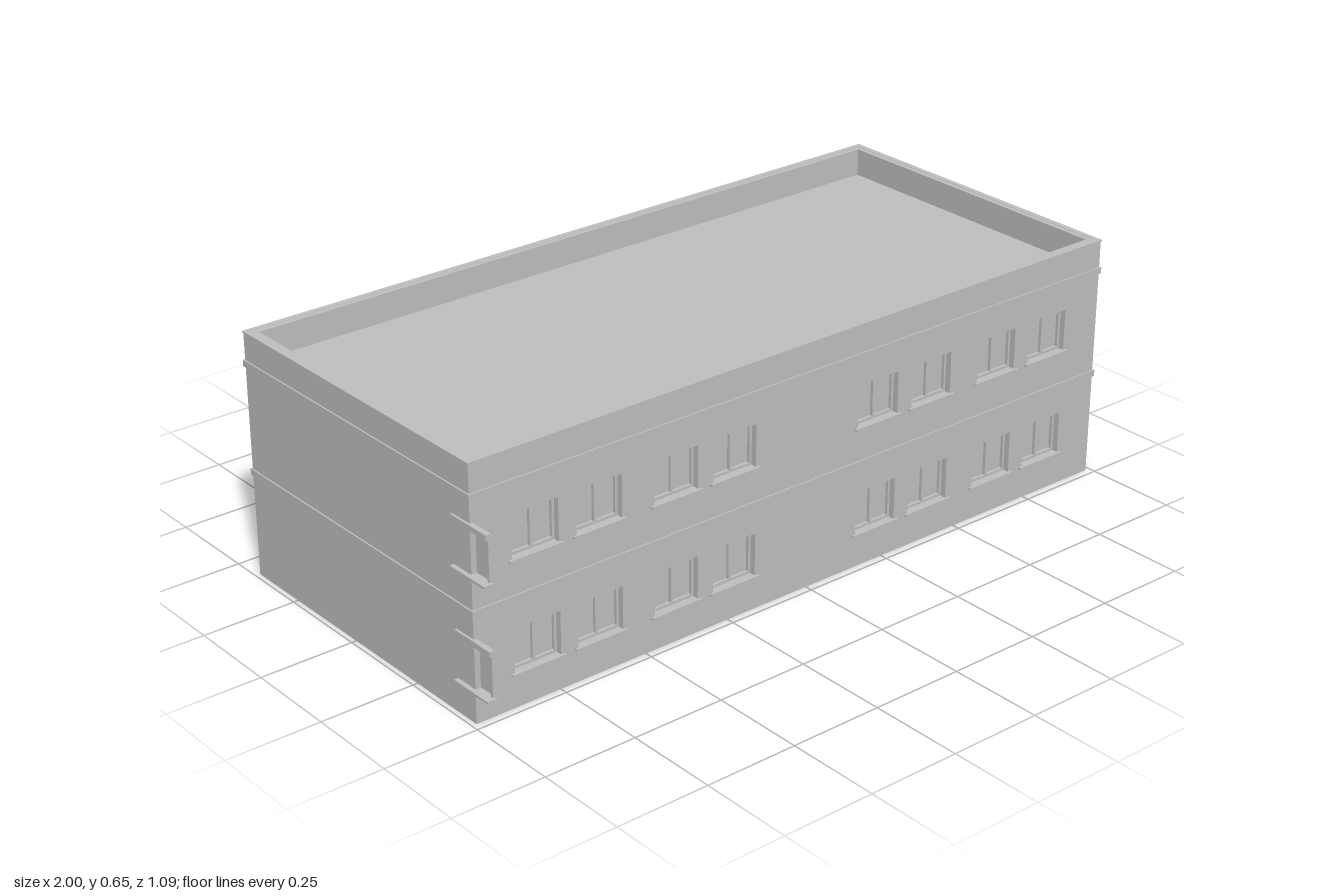
import * as THREE from 'three';

const W = 0.987, FRONT = 0.48, BACK = -0.42, H = 0.652, T = 0.027, ROOF = 0.578;
const MID = (FRONT + BACK) / 2, DEPTH = FRONT - BACK;
const concrete = new THREE.MeshStandardMaterial({ color: 0xc0c0c0 });
concrete.name = 'concreteGrey';

// box given by its minimum and maximum corners
function box(parent, name, x0, x1, y0, y1, z0, z1) {
  const m = new THREE.Mesh(new THREE.BoxGeometry(x1 - x0, y1 - y0, z1 - z0), concrete);
  m.position.set((x0 + x1) / 2, (y0 + y1) / 2, (z0 + z1) / 2);
  m.name = name;
  parent.add(m);
  return m;
}

// wall facing local +z with its outer face at z = 0; holes are [x0, x1, y0, y1]
function wall(parent, name, x0, x1, holes) {
  const s = new THREE.Shape();
  s.moveTo(x0, 0).lineTo(x1, 0).lineTo(x1, H).lineTo(x0, H).closePath();
  for (const [a, b, c, d] of holes) {
    const p = new THREE.Path();
    p.moveTo(a, c).lineTo(a, d).lineTo(b, d).lineTo(b, c).closePath();
    s.holes.push(p);
  }
  const g = new THREE.ExtrudeGeometry(s, { depth: T, bevelEnabled: false });
  g.translate(0, 0, -T);
  const m = new THREE.Mesh(g, concrete);
  m.name = name;
  parent.add(m);
}

// glass, frame bars and centre post set back in an opening
function filling(g, x0, x1, y0, y1) {
  const f = 0.007, z0 = -0.024, z1 = -0.016, c = (x0 + x1) / 2;
  box(g, 'pane', x0, x1, y0, y1, -0.027, z0);
  box(g, 'frameLeft', x0, x0 + f, y0, y1, z0, z1);
  box(g, 'frameRight', x1 - f, x1, y0, y1, z0, z1);
  box(g, 'frameTop', x0 + f, x1 - f, y1 - f, y1, z0, z1);
  box(g, 'frameBottom', x0 + f, x1 - f, y0, y0 + f, z0, z1);
  box(g, 'centrePost', c - f / 2, c + f / 2, y0 + f, y1 - f, z0, z1);
}

function windowUnit(parent, [x0, x1, y0, y1], lintel, reach = 0.007) {
  const g = new THREE.Group();
  g.name = 'window';
  filling(g, x0, x1, y0, y1);
  box(g, 'sill', x0 - 0.01, x1 + 0.01, y0 - 0.006, y0, -0.02, reach);
  if (lintel) box(g, 'lintel', x0 - 0.011, x1 + 0.011, y1, y1 + 0.014, -0.01, 0.005);
  parent.add(g);
}

function doorUnit(parent, [x0, x1, y0, y1], lintel) {
  const g = new THREE.Group();
  g.name = 'door';
  box(g, 'doorLeaf', x0, x1, y0, y1, -0.027, -0.022);
  box(g, 'jambLeft', x0, x0 + 0.006, y0, y1, -0.022, -0.014);
  box(g, 'jambRight', x1 - 0.006, x1, y0, y1, -0.022, -0.014);
  box(g, 'jambTop', x0 + 0.006, x1 - 0.006, y1 - 0.006, y1, -0.022, -0.014);
  if (lintel) box(g, 'lintel', x0 - 0.011, x1 + 0.011, y1, y1 + 0.014, -0.01, 0.005);
  parent.add(g);
}

function facade(parent, name, x, z, turn) {
  const g = new THREE.Group();
  g.name = name;
  g.position.set(x, 0, z);
  g.rotation.y = turn;
  parent.add(g);
  return g;
}

// projecting band running around the building
function band(parent, name, y0, y1, out) {
  box(parent, name, -W - out, W + out, y0, y1, FRONT - T / 2, FRONT + out);
  box(parent, name, -W - out, W + out, y0, y1, BACK - out, BACK + T / 2);
  for (const s of [-1, 1]) {
    const a = s * (W - T / 2), b = s * (W + out);
    box(parent, name, Math.min(a, b), Math.max(a, b), y0, y1, BACK + T / 2, FRONT - T / 2);
  }
}

export function createModel() {
  const model = new THREE.Group();
  model.name = 'building';
  const floors = [[0.09, 0.203], [0.38, 0.492]];

  // front: four pairs of windows on each floor
  const front = facade(model, 'frontFacade', 0, FRONT, 0);
  const frontX = [-0.812, -0.632, -0.408, -0.231, 0.224, 0.402, 0.626, 0.806];
  const frontHoles = floors.flatMap(([a, b]) => frontX.map(x => [x - 0.065, x + 0.065, a, b]));
  wall(front, 'frontWall', -W, W, frontHoles);
  frontHoles.forEach(h => windowUnit(front, h, false));

  // back: entrance replaces the two middle windows below
  const back = facade(model, 'backFacade', 0, BACK, Math.PI);
  const backX = [0.142, 0.375, 0.595, 0.812].flatMap(x => [-x, x]);
  const backHoles = floors.flatMap(([a, b], i) =>
    backX.filter(x => i === 1 || Math.abs(x) > 0.2).map(x => [x - 0.056, x + 0.056, a, b]));
  const entrance = [-0.085, 0.085, 0.012, 0.203];
  wall(back, 'backWall', -W, W, [...backHoles, entrance]);
  backHoles.forEach(h => windowUnit(back, h, true));
  doorUnit(back, entrance, true);
  box(back, 'canopy', -0.142, 0.145, 0.233, 0.245, -0.01, 0.125);
  box(back, 'entranceStep', -0.12, 0.12, 0, 0.01, -0.01, 0.08);

  // left side: one upper window and a side door
  const left = facade(model, 'leftFacade', W, 0, Math.PI / 2);
  const sideWindow = [-0.175, -0.066, 0.38, 0.492];
  const sideDoor = [0.276, 0.382, 0.006, 0.203];
  wall(left, 'leftWall', -FRONT + T, -BACK - T, [sideWindow, sideDoor]);
  windowUnit(left, sideWindow, true, 0.012);
  doorUnit(left, sideDoor, true);

  // right side: plain wall with window units overhanging the front corner
  const right = facade(model, 'rightFacade', -W, 0, -Math.PI / 2);
  wall(right, 'rightWall', BACK + T, FRONT - T, []);
  for (const [a, b] of floors) {
    const g = new THREE.Group();
    g.name = 'cornerWindow';
    box(g, 'pane', FRONT, 0.535, a, b, -0.02, -0.015);
    box(g, 'frame', 0.528, 0.535, a, b, -0.015, -0.008);
    box(g, 'sill', 0.415, 0.543, a - 0.006, a, -0.015, 0.012);
    box(g, 'lintel', 0.415, 0.546, b, b + 0.014, -0.008, 0.006);
    right.add(g);
  }

  // floor, roof and bands
  box(model, 'floorSlab', -W + T, W - T, 0, 0.005, BACK + T, FRONT - T);
  box(model, 'roof', -W + T, W - T, ROOF - 0.02, ROOF, MID - DEPTH / 2 + T, MID + DEPTH / 2 - T);
  band(model, 'lowerBand', 0.273, 0.29, 0.004);
  band(model, 'upperBand', 0.561, 0.578, 0.004);
  band(model, 'parapetRim', H - 0.003, H + 0.001, 0.002);
  return model;
}
